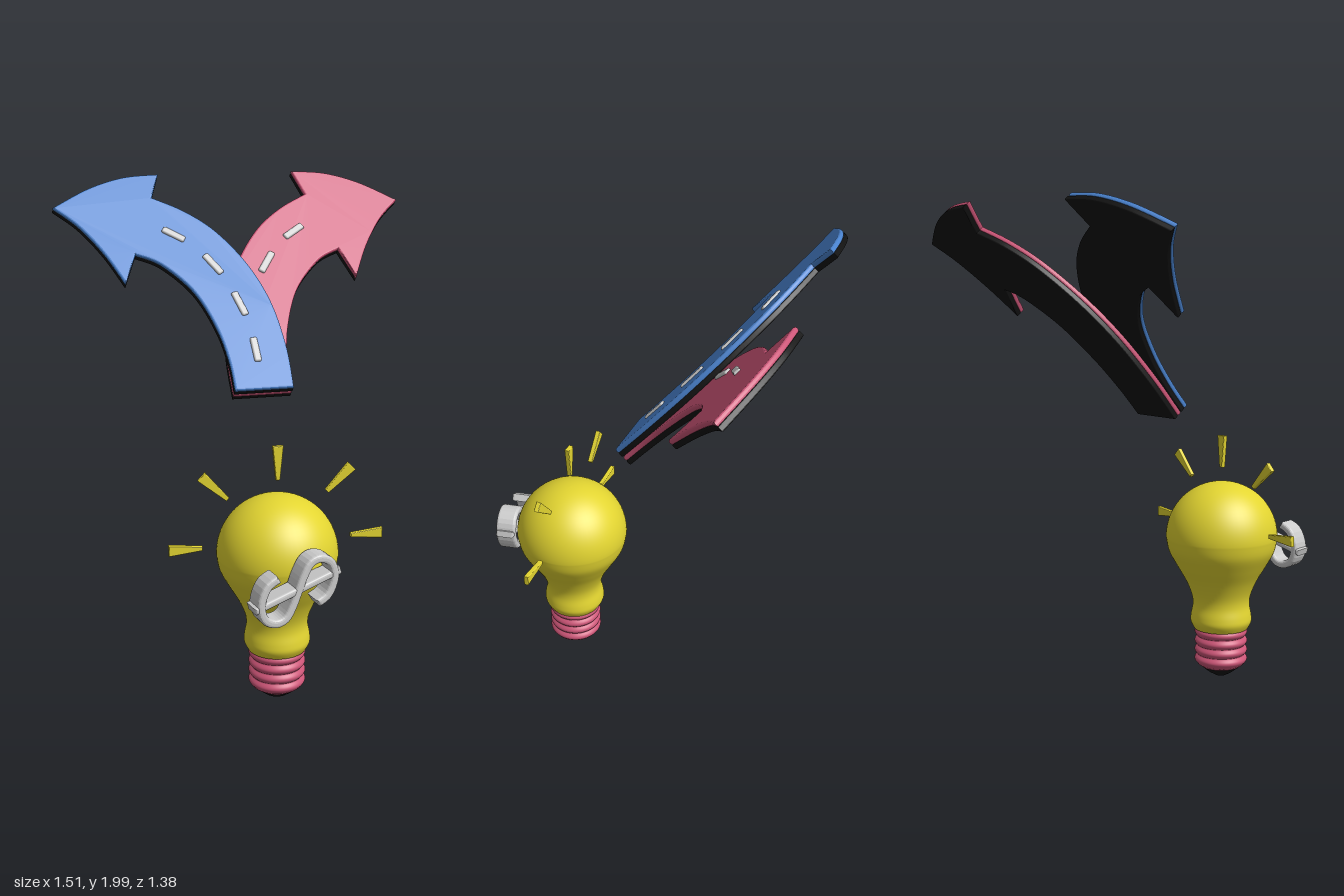
import * as THREE from 'three';
import { RoundedBoxGeometry } from 'three/addons/geometries/RoundedBoxGeometry.js';

const mat = (color) => new THREE.MeshStandardMaterial({ color });
const blue = mat(0x4a83cf), pink = mat(0xcc5577), yellow = mat(0xe3d531);
const black = mat(0x121212), grey = mat(0xcccccc);
const V = (x, y) => new THREE.Vector2(x, y);

function add(parent, name, geometry, material) {
  const mesh = new THREE.Mesh(geometry, material);
  mesh.name = name;
  parent.add(mesh);
  return mesh;
}

// Extrusion with softened rims whose outline keeps its size; spans z = 0..depth
function slab(shape, depth, bevel, curveSegments = 12) {
  const g = new THREE.ExtrudeGeometry(shape, {
    depth: depth - 2 * bevel, curveSegments, bevelEnabled: bevel > 0,
    bevelThickness: bevel, bevelSize: bevel, bevelOffset: -bevel, bevelSegments: 3,
  });
  return g.translate(0, 0, bevel);
}

// ---- Forked road signs, drawn in their own sloping plane ----
const BASE_Y = 1.2, COS = 0.762, TILT = Math.acos(COS);
const onSlope = (x, y) => V(x, (y - BASE_Y) / COS);

// Curved arrow outline; side = 1 bends to -x, side = -1 to +x
function arrowShape(side, stretch) {
  const p = (x, y) => { const q = onSlope(x * side, y); q.y *= stretch; return q; };
  const s = new THREE.Shape();
  const start = p(-0.12, 1.2), end = p(0.12, 1.2);
  s.moveTo(start.x, start.y);
  s.lineTo(end.x, end.y);
  s.splineThru([p(0.12, 1.34), p(0.09, 1.5), p(0.02, 1.64), p(-0.09, 1.765), p(-0.21, 1.845), p(-0.34, 1.9)]);
  s.lineTo(p(-0.3, 1.99).x, p(-0.3, 1.99).y);
  s.splineThru([p(-0.45, 1.98), p(-0.6, 1.94), p(-0.755, 1.87)]);
  s.splineThru([p(-0.66, 1.8), p(-0.57, 1.7), p(-0.495, 1.585)]);
  s.lineTo(p(-0.44, 1.69).x, p(-0.44, 1.69).y);
  s.splineThru([p(-0.34, 1.65), p(-0.225, 1.55), p(-0.155, 1.42), p(-0.125, 1.3), start]);
  return s;
}

// Coloured plate on a black backing, with raised lane dashes; top = height of its face
function roadArrow(name, side, stretch, material, top, dashes) {
  const g = new THREE.Group();
  g.name = name;
  const shape = arrowShape(side, stretch);
  add(g, 'roadPlate', slab(shape, 0.022, 0.008), material).position.z = top - 0.022;
  add(g, 'roadBacking', slab(shape, 0.023, 0.005), black).position.z = top - 0.043;
  for (const [x0, y0, x1, y1] of dashes) {
    const a = onSlope(x0, y0), b = onSlope(x1, y1);
    const dash = add(g, 'laneDash', new RoundedBoxGeometry(a.distanceTo(b), 0.03, 0.018, 3, 0.008), grey);
    dash.position.set((a.x + b.x) / 2, (a.y + b.y) / 2, top);
    dash.rotation.z = Math.atan2(b.y - a.y, b.x - a.x);
  }
  return g;
}

// ---- Flat ribbon following a curve, used for the emblem ----
function strokeShape(points, width) {
  const curve = new THREE.SplineCurve(points);
  const n = points.length > 2 ? 48 : 1;
  const left = [], right = [];
  for (let i = 0; i <= n; i++) {
    const p = curve.getPoint(i / n), t = curve.getTangent(i / n);
    const off = V(-t.y, t.x).multiplyScalar(width / 2);
    left.push(p.clone().add(off));
    right.push(p.clone().sub(off));
  }
  return new THREE.Shape(right.concat(left.reverse()));
}

function buildBulb() {
  const bulb = new THREE.Group();
  bulb.name = 'lightBulb';
  bulb.position.set(-0.02, 0, 0.335);

  // Glass: neck and flare as a spline, finished by a dome
  const neck = new THREE.SplineCurve([
    V(0.115, 0.215), V(0.13, 0.245), V(0.129, 0.275), V(0.121, 0.32), V(0.127, 0.365),
    V(0.152, 0.425), V(0.19, 0.49), V(0.225, 0.555), V(0.237, 0.614),
  ]).getPoints(40);
  for (let i = 1; i <= 20; i++) {
    const a = (i / 20) * Math.PI / 2;
    neck.push(V(0.237 * Math.cos(a), 0.614 + 0.236 * Math.sin(a)));
  }
  add(bulb, 'glass', new THREE.LatheGeometry(neck, 64), yellow);

  // Screw base with four rounded ribs
  const screw = [V(0.0, 0.045), V(0.08, 0.045), V(0.1, 0.058)];
  for (let i = 0; i <= 48; i++) {
    const u = i / 48;
    screw.push(V(0.1 + 0.013 * Math.abs(Math.sin(u * Math.PI * 4)), 0.06 + 0.16 * u));
  }
  screw.push(V(0, 0.222));
  add(bulb, 'screwBase', new THREE.LatheGeometry(screw, 48), pink);

  // Contact at the foot
  const tip = [V(0, 0), V(0.022, 0.004), V(0.05, 0.02), V(0.08, 0.043), V(0.086, 0.06), V(0, 0.06)];
  add(bulb, 'contactTip', new THREE.LatheGeometry(tip, 48), black);

  // Tapered rays: angle from straight up, inner and outer radius
  for (const [deg, r0, r1] of [[0, 0.25, 0.385], [46, 0.272, 0.41], [-46, 0.272, 0.41], [90, 0.295, 0.425], [-90, 0.295, 0.425]]) {
    const shape = new THREE.Shape([V(-0.008, r0), V(0.008, r0), V(0.021, r1), V(-0.021, r1)]);
    const ray = add(bulb, 'lightRay', slab(shape, 0.02, 0.003).translate(0, 0, -0.01), yellow);
    ray.position.y = 0.66;
    ray.rotation.z = THREE.MathUtils.degToRad(deg);
  }
  return bulb;
}

// Double-hooked curve crossed by a bar, floating before the bulb
function buildEmblem() {
  const emblem = new THREE.Group();
  emblem.name = 'moneyEmblem';
  emblem.position.set(-0.027, 0.582, 0.612);
  emblem.rotation.y = 0.2;
  // One half of the curve; the other is its half turn about the centre
  const half = [V(0.022, 0.055), V(0.05, 0.1), V(0.092, 0.112), V(0.135, 0.088), V(0.15, 0.03), V(0.125, -0.035), V(0.08, -0.062)];
  const hook = half.map((p) => p.clone().negate()).reverse().concat([V(0, 0)], half);
  add(emblem, 'hookedCurve', slab(strokeShape(hook, 0.032), 0.085, 0.011).translate(0, 0, -0.0425), grey);
  const bar = [V(-0.175, -0.049), V(0.175, 0.053)];
  add(emblem, 'crossBar', slab(strokeShape(bar, 0.028), 0.08, 0.01).translate(0, 0, -0.04), grey);
  return emblem;
}

export function createModel() {
  const model = new THREE.Group();
  model.name = 'ideaCrossroads';

  // Both arrows lean back together, the pink one beneath the blue
  const fork = new THREE.Group();
  fork.name = 'roadFork';
  fork.position.set(0, BASE_Y, 0.06);
  fork.rotation.x = -TILT;
  fork.add(roadArrow('leftBendRoad', 1, 1, blue, 0, [
    [-0.315, 1.778, -0.23, 1.735], [-0.157, 1.678, -0.097, 1.608],
    [-0.06, 1.538, -0.026, 1.455], [-0.013, 1.375, -0.008, 1.292],
  ]));
  fork.add(roadArrow('rightBendRoad', -1, 1.035, pink, -0.043, [
    [0.082, 1.628, 0.145, 1.7], [0.212, 1.755, 0.3, 1.8],
  ]));
  model.add(fork);

  model.add(buildBulb(), buildEmblem());
  return model;
}
